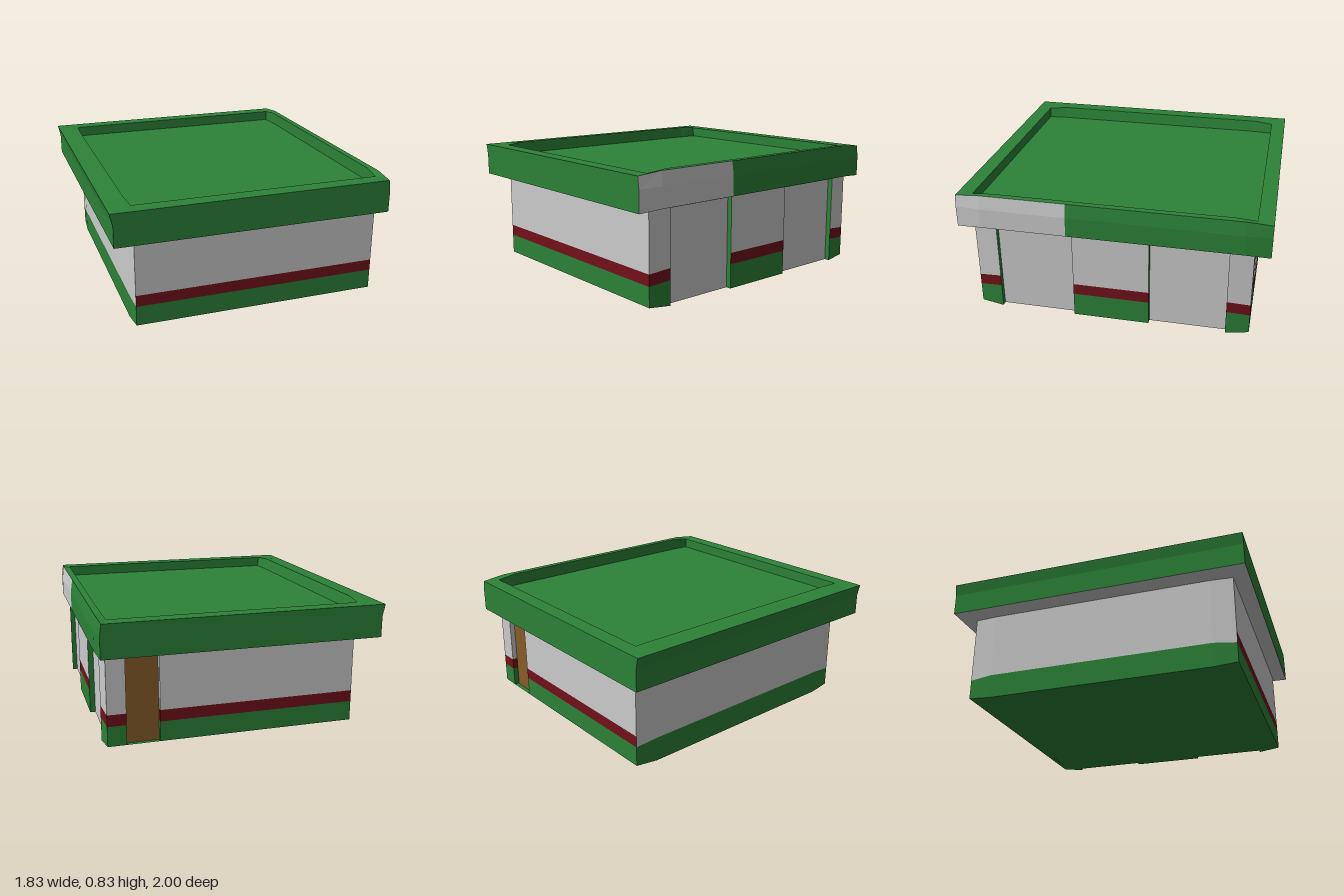
import * as THREE from 'three';

const GREEN = 0x2c8238, RED = 0x72101a, GREY = 0xcccccc, BROWN = 0x865d28;
const mats = new Map();
function material(color) {
  if (!mats.has(color)) {
    mats.set(color, new THREE.MeshStandardMaterial({ color, flatShading: true, side: THREE.DoubleSide }));
  }
  return mats.get(color);
}

// Flat-shaded sheet: rows run bottom to top, points left to right seen from outside
function sheet(parent, name, color, rows) {
  const p = [];
  for (let i = 0; i < rows.length - 1; i++) {
    for (let j = 0; j < rows[i].length - 1; j++) {
      const a = rows[i][j], b = rows[i][j + 1], c = rows[i + 1][j + 1], d = rows[i + 1][j];
      p.push(...a, ...b, ...c, ...a, ...c, ...d);
    }
  }
  const geo = new THREE.BufferGeometry();
  geo.setAttribute('position', new THREE.Float32BufferAttribute(p, 3));
  geo.computeVertexNormals();
  const mesh = new THREE.Mesh(geo, material(color));
  mesh.name = name;
  parent.add(mesh);
}

// The sides bow slightly: 0 at the end, 1 from the bend inwards
const bow = (z, end, bend) => Math.min(1, (end - Math.abs(z)) / (end - bend));

// Wall measurements
const FLOOR = 0.015, STRIPE = 0.145, STRIPE_TOP = 0.22, TOP = 0.6;
const BANDS = [['base', GREEN, FLOOR, STRIPE], ['stripe', RED, STRIPE, STRIPE_TOP], ['wall', GREY, STRIPE_TOP, TOP]];
const PLAIN = [['base', GREEN, FLOOR, STRIPE], ['wall', GREY, STRIPE, TOP]];
const DEPTH = 0.035, END = 0.9, BEND = 0.75, DOOR = [0.53, 0.74];
const wallX = (side, z) => {
  const e = bow(z, END, BEND);
  return side > 0 ? 0.86 + 0.015 * e : -0.76 - 0.01 * e;
};
const wallY = (y, z) => y + (y === FLOOR ? -0.015 : 0.015) * bow(z, END, BEND);

function sideWall(g, label, side, zs, bands) {
  for (const [name, color, y0, y1] of bands) {
    sheet(g, label + ' ' + name, color, [y0, y1].map(y => zs.map(z => [wallX(side, z), wallY(y, z), z])));
  }
}

function endWall(g, label, z, x0, x1) {
  for (const [name, color, y0, y1] of BANDS) {
    sheet(g, label + ' ' + name, color, [y0, y1].map(y => [[x0, y, z], [x1, y, z]]));
  }
}

function buildWalls() {
  const g = new THREE.Group();
  g.name = 'walls';
  endWall(g, 'front', END, -0.76, 0.86);
  endWall(g, 'back', -END, 0.86, DOOR[1]);
  endWall(g, 'back', -END, DOOR[0], -0.76);
  sideWall(g, 'left side plain', -1, [-0.9, -0.75, 0.75, 0.9], PLAIN);
  for (const zs of [[0.9, 0.75], [0.25, -0.25], [-0.75, -0.9]]) sideWall(g, 'entrance side', 1, zs, BANDS);

  // Two recessed panels with green jambs and lintels
  const xo = 0.875, xi = xo - DEPTH;
  for (const [z0, z1] of [[0.75, 0.25], [-0.25, -0.75]]) {
    sheet(g, 'recessed panel', GREY, [0, 0.6].map(y => [[xi, y, z0], [xi, y, z1]]));
    sheet(g, 'panel jamb', GREEN, [0, 0.61].map(y => [[xo, y, z0], [xi, y, z0]]));
    sheet(g, 'panel jamb', GREEN, [0, 0.61].map(y => [[xi, y, z1], [xo, y, z1]]));
    sheet(g, 'panel lintel', GREEN, [z1, z0].map(z => [[xi, 0.598, z], [xo, 0.598, z]]));
  }

  // Recessed back door
  const zi = -END + DEPTH;
  sheet(g, 'back door', BROWN, [0.01, TOP].map(y => [[DOOR[1], y, zi], [DOOR[0], y, zi]]));
  for (const [name, color, y0, y1] of BANDS) {
    sheet(g, 'door jamb ' + name, color, [y0, y1].map(y => [[DOOR[1], y, -END], [DOOR[1], y, zi]]));
    sheet(g, 'door jamb ' + name, color, [y0, y1].map(y => [[DOOR[0], y, zi], [DOOR[0], y, -END]]));
  }
  sheet(g, 'door lintel', GREEN, [-END, zi].map(z => [[DOOR[0], 0.592, z], [DOOR[1], 0.592, z]]));

  // Underside, notched below the recessed panels
  const zs = [-0.9, -0.75, -0.25, 0.25, 0.75, 0.9];
  for (let i = 0; i < zs.length - 1; i++) {
    const notch = i % 2 ? DEPTH : 0;
    sheet(g, 'underside', GREEN, [zs[i], zs[i + 1]].map(z =>
      [[wallX(-1, z), wallY(FLOOR, z), z], [wallX(1, z) - notch, wallY(FLOOR, z), z]]));
  }
  return g;
}

function buildRoof() {
  const g = new THREE.Group();
  g.name = 'roof';
  const outer = [-1, -0.84, 0.84, 1], inner = [-0.9, -0.77, 0.77, 0.9], DECK = 0.745;
  const e = z => bow(z, 1, 0.84);
  const f = z => bow(z, 0.9, 0.77);

  // Outer profiles, bottom to top
  const right = z => [[0.9 + 0.014 * e(z), 0.6 + 0.01 * e(z), z], [0.9 + 0.014 * e(z), 0.74, z], [0.89 + 0.01 * e(z), 0.815 + 0.015 * e(z), z]];
  const left = z => [[-0.9, 0.6, z], [-0.9, 0.74, z], [-0.917, 0.815, z]];
  const rows = (profile, zs) => [0, 1, 2].map(k => zs.map(z => profile(z)[k]));

  // Fascia on all four sides, with one grey stretch
  sheet(g, 'grey fascia', GREY, rows(right, [1, 0.84, 0.275]));
  sheet(g, 'entrance fascia', GREEN, rows(right, [0.275, -0.84, -1]));
  sheet(g, 'left fascia', GREEN, rows(left, outer));
  sheet(g, 'front fascia', GREEN, [0, 1, 2].map(k => [left(1)[k], right(1)[k]]));
  sheet(g, 'back fascia', GREEN, [0, 1, 2].map(k => [right(-1)[k], left(-1)[k]]));

  // Soffit
  sheet(g, 'soffit', GREY, outer.map(z => [left(z)[0], right(z)[0]]));

  // Rim top around the sunken deck
  const innerL = z => [-0.77 - 0.015 * f(z), 0.815 + 0.01 * f(z), z];
  const innerR = z => [0.845 + 0.012 * f(z), 0.815 + 0.015 * f(z), z];
  sheet(g, 'left rim', GREEN, [outer.map(z => left(z)[2]), inner.map(innerL)]);
  sheet(g, 'right rim', GREEN, [[...outer].reverse().map(z => right(z)[2]), [...inner].reverse().map(innerR)]);
  sheet(g, 'front rim', GREEN, [[left(1)[2], right(1)[2]], [innerL(0.9), innerR(0.9)]]);
  sheet(g, 'back rim', GREEN, [[right(-1)[2], left(-1)[2]], [innerR(-0.9), innerL(-0.9)]]);

  // Inner faces of the rim and the deck
  const deckL = z => [-0.76 - 0.01 * f(z), DECK, z];
  const deckR = z => [0.845 + 0.012 * f(z), DECK, z];
  const back = [...inner].reverse();
  sheet(g, 'left parapet', GREEN, [back.map(deckL), back.map(innerL)]);
  sheet(g, 'right parapet', GREEN, [inner.map(deckR), inner.map(innerR)]);
  sheet(g, 'front parapet', GREEN, [[deckR(0.9), deckL(0.9)], [innerR(0.9), innerL(0.9)]]);
  sheet(g, 'back parapet', GREEN, [[deckL(-0.9), deckR(-0.9)], [innerL(-0.9), innerR(-0.9)]]);
  sheet(g, 'roof deck', GREEN, back.map(z => [deckL(z), deckR(z)]));
  return g;
}

export function createModel() {
  const model = new THREE.Group();
  model.name = 'building';
  model.add(buildWalls(), buildRoof());
  return model;
}
